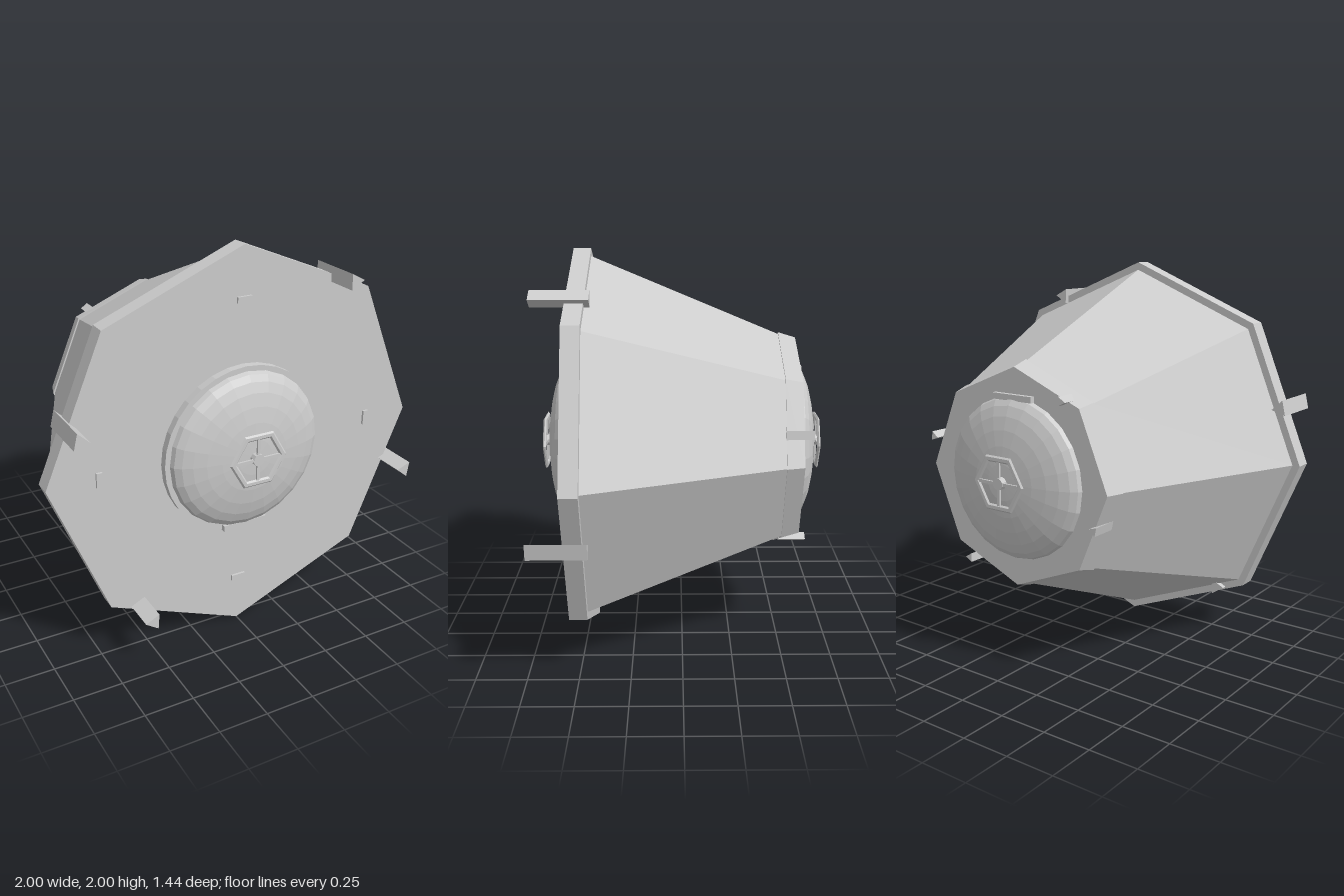
import * as THREE from 'three';

const material = new THREE.MeshStandardMaterial({ color: 0xcccccc, flatShading: true });

function add(parent, name, geometry, x = 0, y = 0, z = 0) {
  const mesh = new THREE.Mesh(geometry, material);
  mesh.name = name;
  mesh.position.set(x, y, z);
  parent.add(mesh);
  return mesh;
}

// Prism or frustum along z, from z0 (radius r0) to z1 (radius r1)
function frustum(r0, r1, z0, z1, sides) {
  return new THREE.CylinderGeometry(r1, r0, z1 - z0, sides)
    .rotateX(Math.PI / 2)
    .translate(0, 0, (z0 + z1) / 2);
}

// Domed hatch with collar, hinge and handwheel, facing +z
function createHatch(name) {
  const hatch = new THREE.Group();
  hatch.name = name;
  add(hatch, 'hatchCollar', frustum(0.43, 0.43, 0.5, 0.585, 32));

  const dome = new THREE.SphereGeometry(0.405, 24, 7, 0, Math.PI * 2, 0, Math.PI / 2);
  dome.rotateX(Math.PI / 2).scale(1, 1, 0.105 / 0.405);
  add(hatch, 'hatchDome', dome, 0, 0, 0.584);
  add(hatch, 'hatchHinge', new THREE.BoxGeometry(0.24, 0.03, 0.05), 0, -0.4, 0.585);

  // Hexagonal handwheel
  const rim = new THREE.TorusGeometry(0.137, 0.018, 6, 6).scale(1, 1, 0.5);
  add(hatch, 'wheelRim', rim, 0, 0, 0.711);
  add(hatch, 'wheelShaft', frustum(0.03, 0.03, 0.67, 0.72, 10));
  for (let i = 0; i < 4; i++) {
    const length = i % 2 ? 0.12 : 0.137;
    const spoke = new THREE.BoxGeometry(length, 0.016, 0.01).translate(length / 2, 0, 0);
    add(hatch, 'wheelSpoke', spoke, 0, 0, 0.711).rotation.z = i * Math.PI / 2;
  }
  return hatch;
}

// Four triangular pegs around the rim: x, y, turn in degrees
const pegs = [
  [0.505, 0.8, 2],
  [-0.887, 0.29, -13],
  [0.907, -0.273, 51],
  [-0.555, -0.742, 56],
];

function addPegs(parent, name, spread, radius, z0, z1) {
  for (const [x, y, turn] of pegs) {
    // Rotate so that one corner points along +x before the turn
    const peg = frustum(radius, radius, z0, z1, 3).rotateZ(Math.PI / 2);
    add(parent, name, peg, x * spread, y * spread).rotation.z = THREE.MathUtils.degToRad(turn);
  }
}

export function createModel() {
  const model = new THREE.Group();
  model.name = 'capsule';
  model.position.y = 1;

  // Octagonal body
  add(model, 'frontPlate', frustum(1, 1, 0.457, 0.545, 8));
  add(model, 'taperedHull', frustum(0.562, 0.96, -0.5, 0.457, 8));
  add(model, 'rearCap', frustum(0.545, 0.572, -0.587, -0.498, 8));

  // Front hatch, pegs and inset tabs
  model.add(createHatch('frontHatch'));
  addPegs(model, 'frontPeg', 1, 0.046, 0.43, 0.71);
  for (let i = 0; i < 4; i++) {
    const angle = i * Math.PI / 2;
    const tab = new THREE.BoxGeometry(0.03, 0.075, 0.03);
    add(model, 'frontTab', tab, Math.cos(angle) * 0.745, Math.sin(angle) * 0.745, 0.542)
      .rotation.z = angle;
  }

  // The rear repeats the front, turned half round the x axis
  const rear = new THREE.Group();
  rear.name = 'rearEnd';
  rear.rotation.x = Math.PI;
  rear.add(createHatch('rearHatch'));
  addPegs(rear, 'rearPeg', 0.56, 0.026, 0.495, 0.63);
  model.add(rear);

  const root = new THREE.Group();
  root.name = 'model';
  root.add(model);
  return root;
}
